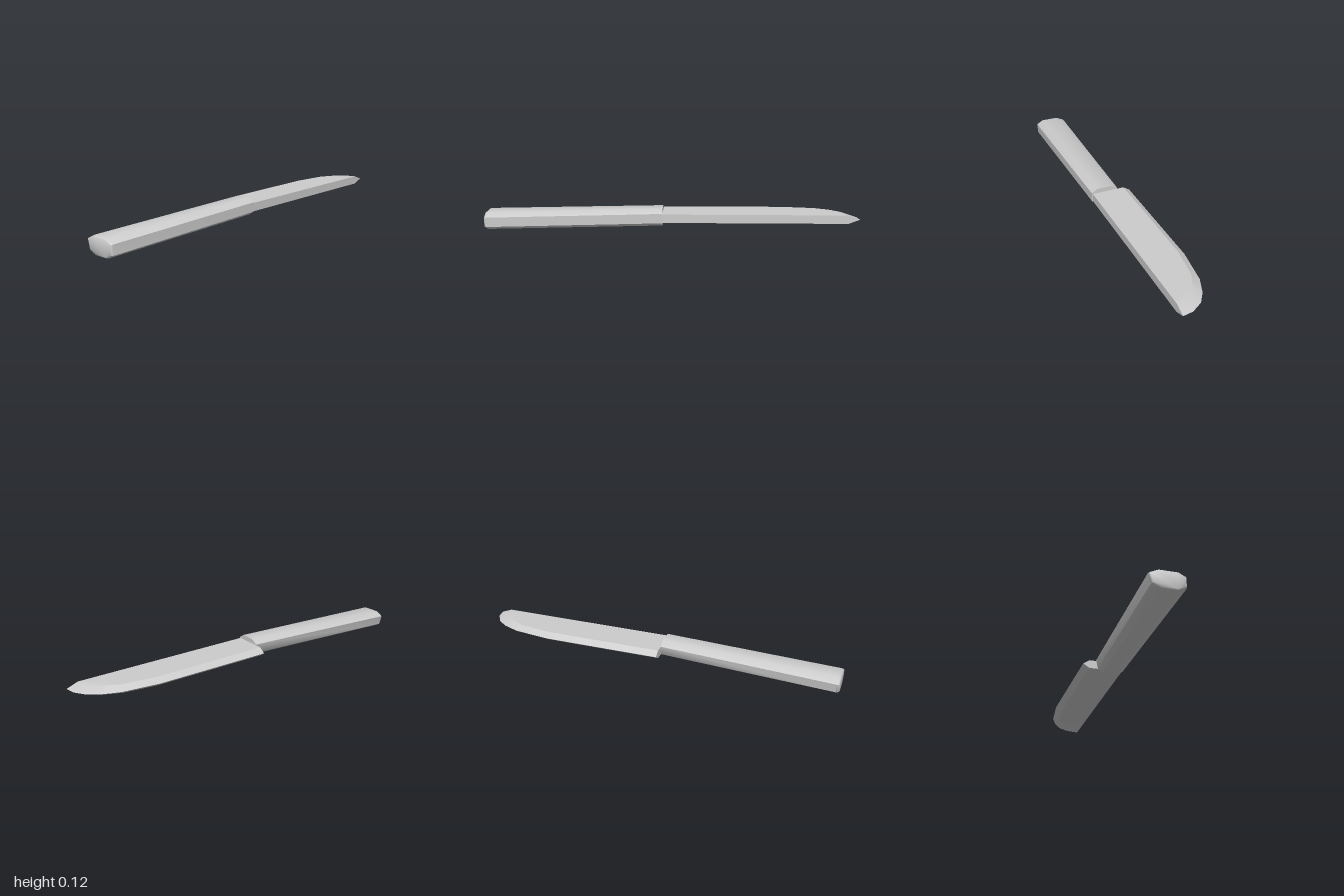
import * as THREE from 'three';
import { toCreasedNormals } from 'three/addons/utils/BufferGeometryUtils.js';

// Skin matching rings of points (counter-clockwise seen from the far end) and cap both ends.
function loft(rings, crease) {
  const pos = [];
  const tri = (a, b, c) => {
    const area = new THREE.Triangle(a, b, c).getArea();
    if (area > 1e-8) for (const p of [a, b, c]) pos.push(p.x, p.y, p.z);
  };
  const n = rings[0].length;
  for (let i = 0; i < rings.length - 1; i++) {
    for (let j = 0; j < n; j++) {
      const k = (j + 1) % n;
      const a = rings[i][j], b = rings[i][k], c = rings[i + 1][k], d = rings[i + 1][j];
      tri(a, b, c);
      tri(a, c, d);
    }
  }
  const first = rings[0], last = rings[rings.length - 1];
  for (let j = 1; j < n - 1; j++) {
    tri(first[0], first[j + 1], first[j]);
    tri(last[0], last[j], last[j + 1]);
  }
  const geometry = new THREE.BufferGeometry();
  geometry.setAttribute('position', new THREE.Float32BufferAttribute(pos, 3));
  return toCreasedNormals(geometry, crease);
}

const v = (x, y, z) => new THREE.Vector3(x, y, z);

// Blade: cutting edge x, z, then the line where the bevel meets the flat side x, z.
function bladeGeometry() {
  const stations = [
    [-0.11, 0.045, -0.075, 0.045],
    [-0.118, -0.3, -0.084, -0.3],
    [-0.125, -0.6, -0.09, -0.6],
    [-0.103, -0.8, -0.068, -0.78],
    [-0.07, -0.89, -0.037, -0.85],
    [-0.03, -0.95, 0.0, -0.9],
    [0.03, -0.99, 0.045, -0.93],
    [0.085, -1, 0.086, -0.94],
  ];
  const low = 0.052, mid = 0.075, high = 0.098;
  const rings = stations.map(([ex, ez, fx, fz]) => {
    const spine = 0.105 + (fz - 0.045) * 0.0193;
    return [
      v(ex, mid, ez), v(fx, high, fz), v(spine, high, fz),
      v(spine, low, fz), v(fx, low, fz),
    ];
  });
  return loft(rings, 0.45);
}

// Handle: faceted oval section that widens and sinks towards the butt.
function handleGeometry() {
  const section = [
    [0.084, 0.0], [0.122, 0.021], [0.123, 0.073], [0.085, 0.094],
    [-0.008, 0.094], [-0.052, 0.073], [-0.04, 0.021], [0.0, 0.0],
  ];
  const cx = 0.037, cy = 0.047;
  const ring = (z, sx, sy, lift) =>
    section.map(([x, y]) => v(cx + (x - cx) * sx, cy + (y - cy) * sy + lift, z));
  return loft([
    ring(0.045, 0.85, 0.99, 0.03),
    ring(0.985, 1, 1, 0.003),
    ring(0.996, 0.97, 0.95, 0.003),
    ring(1, 0.9, 0.86, 0.003),
  ], 0.85);
}

export function createModel() {
  const group = new THREE.Group();
  group.name = 'knife';
  const material = new THREE.MeshStandardMaterial({ color: 0xcccccc });
  const parts = { blade: bladeGeometry(), handle: handleGeometry() };
  for (const [name, geometry] of Object.entries(parts)) {
    const mesh = new THREE.Mesh(geometry, material);
    mesh.name = name;
    group.add(mesh);
  }
  return group;
}
